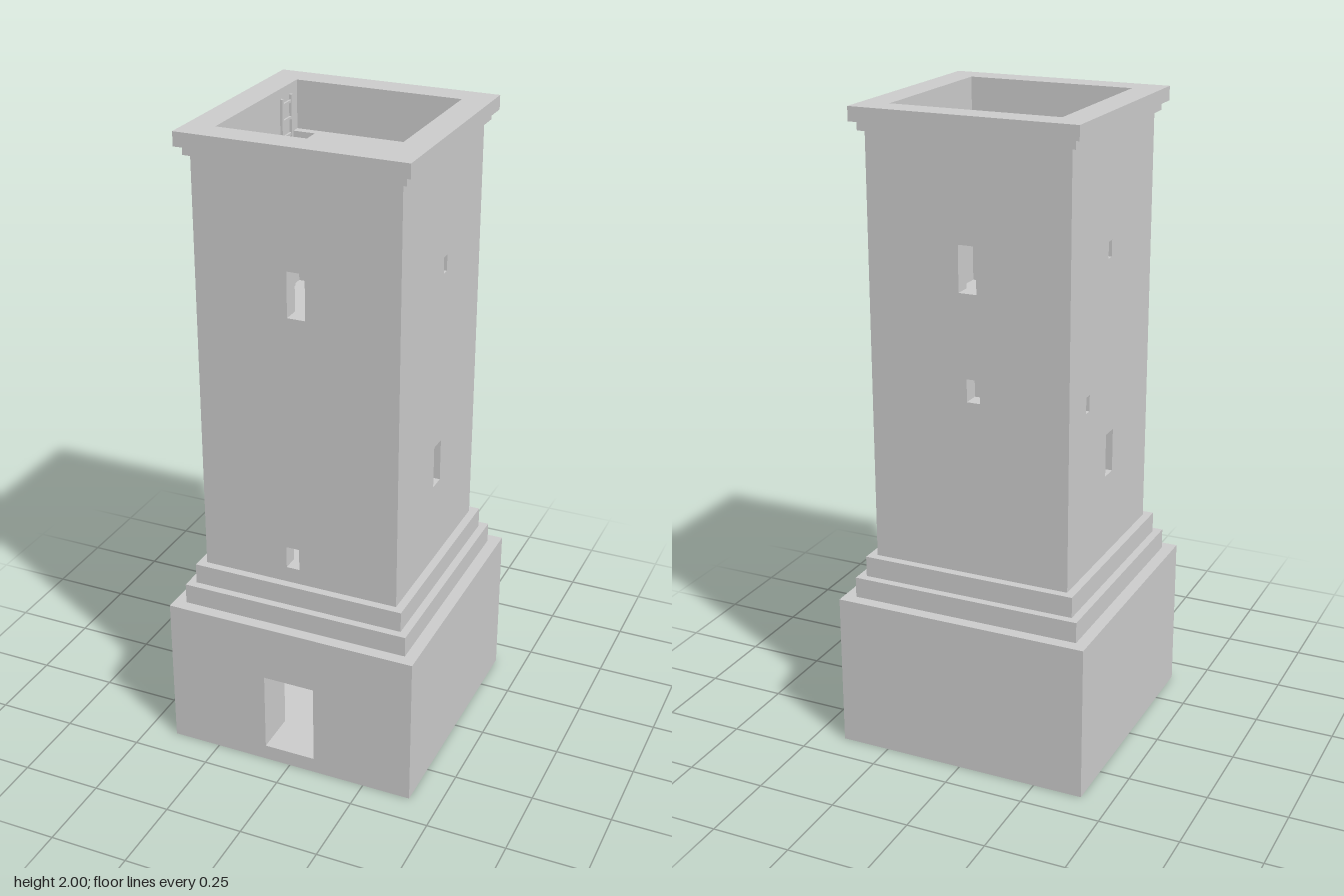
import * as THREE from 'three';

const INNER = 0.263; // half width of the hollow core
const material = new THREE.MeshStandardMaterial({ color: 0xcccccc });

function rectPath(PathType, x0, x1, y0, y1) {
  const p = new PathType();
  p.moveTo(x0, y0);
  p.lineTo(x1, y0);
  p.lineTo(x1, y1);
  p.lineTo(x0, y1);
  p.closePath();
  return p;
}

function addMesh(parent, name, geometry, x = 0, y = 0, z = 0) {
  const mesh = new THREE.Mesh(geometry, material);
  mesh.name = name;
  mesh.position.set(x, y, z);
  parent.add(mesh);
  return mesh;
}

function plate(outer, hole, y0, y1) {
  const shape = rectPath(THREE.Shape, -outer, outer, -outer, outer);
  if (hole) shape.holes.push(rectPath(THREE.Path, ...hole));
  const geometry = new THREE.ExtrudeGeometry(shape, { depth: y1 - y0, bevelEnabled: false });
  // shape y becomes -z, depth becomes y
  geometry.rotateX(-Math.PI / 2);
  geometry.translate(0, y0, 0);
  return geometry;
}

const band = (half, y0, y1) => plate(half, [-INNER, INNER, -INNER, INNER], y0, y1);

// Four upright wall panels; openings are [x0, x1, y0, y1] seen from outside
function walls(name, half, y0, y1, openings) {
  const group = new THREE.Group();
  group.name = name;
  ['front', 'left', 'back', 'right'].forEach((side, i) => {
    const w = i % 2 ? INNER : half;
    const shape = rectPath(THREE.Shape, -w, w, y0, y1);
    for (const o of openings[side] || []) shape.holes.push(rectPath(THREE.Path, ...o));
    const geometry = new THREE.ExtrudeGeometry(shape, { depth: half - INNER, bevelEnabled: false });
    geometry.translate(0, 0, INNER);
    addMesh(group, side + 'Wall', geometry).rotation.y = i * Math.PI / 2;
  });
  return group;
}

export function createModel() {
  const tower = new THREE.Group();
  tower.name = 'tower';

  // Base with doorway
  tower.add(walls('base', 0.405, 0, 0.49, { front: [[-0.083, 0.083, 0.05, 0.31]] }));

  // Stepped plinth
  addMesh(tower, 'lowerStep', band(0.367, 0.49, 0.555));
  addMesh(tower, 'upperStep', band(0.342, 0.555, 0.62));

  // Shaft with windows and slits (model left is +x)
  const tall = [-0.028, 0.028, 1.49, 1.63];
  const side = [-0.028, 0.028, 0.88, 1.015];
  tower.add(walls('shaft', 0.316, 0.62, 1.93, {
    front: [tall, [-0.042, 0, 0.67, 0.74]],
    back: [tall, [-0.005, 0.037, 1.165, 1.235]],
    left: [side, [0.01, 0.036, 1.56, 1.61]],
    right: [side, [-0.036, -0.01, 1.56, 1.61], [-0.19, -0.164, 1.135, 1.185]],
  }));

  // Cornice
  addMesh(tower, 'lowerCornice', band(0.332, 1.93, 1.957));
  addMesh(tower, 'upperCornice', band(0.35, 1.957, 2));

  // Floors, the roof deck having a hatch in its back corner
  addMesh(tower, 'groundFloor', plate(INNER, null, 0.035, 0.05));
  addMesh(tower, 'middleFloor', plate(INNER, null, 0.53, 0.555));
  addMesh(tower, 'upperFloor', plate(INNER, null, 1.33, 1.355));
  addMesh(tower, 'roofDeck', plate(INNER, [-0.2625, -0.192, 0.127, 0.235], 1.82, 1.85));

  // Ladder through the hatch
  const ladder = new THREE.Group();
  ladder.name = 'ladder';
  for (const z of [-0.21, -0.147]) {
    addMesh(ladder, 'rail', new THREE.BoxGeometry(0.008, 0.615, 0.01), -0.258, 1.6625, z);
  }
  for (let i = 0; i < 12; i++) {
    addMesh(ladder, 'rung', new THREE.BoxGeometry(0.006, 0.008, 0.063), -0.258, 1.4 + i * 0.05, -0.1785);
  }
  tower.add(ladder);

  return tower;
}
